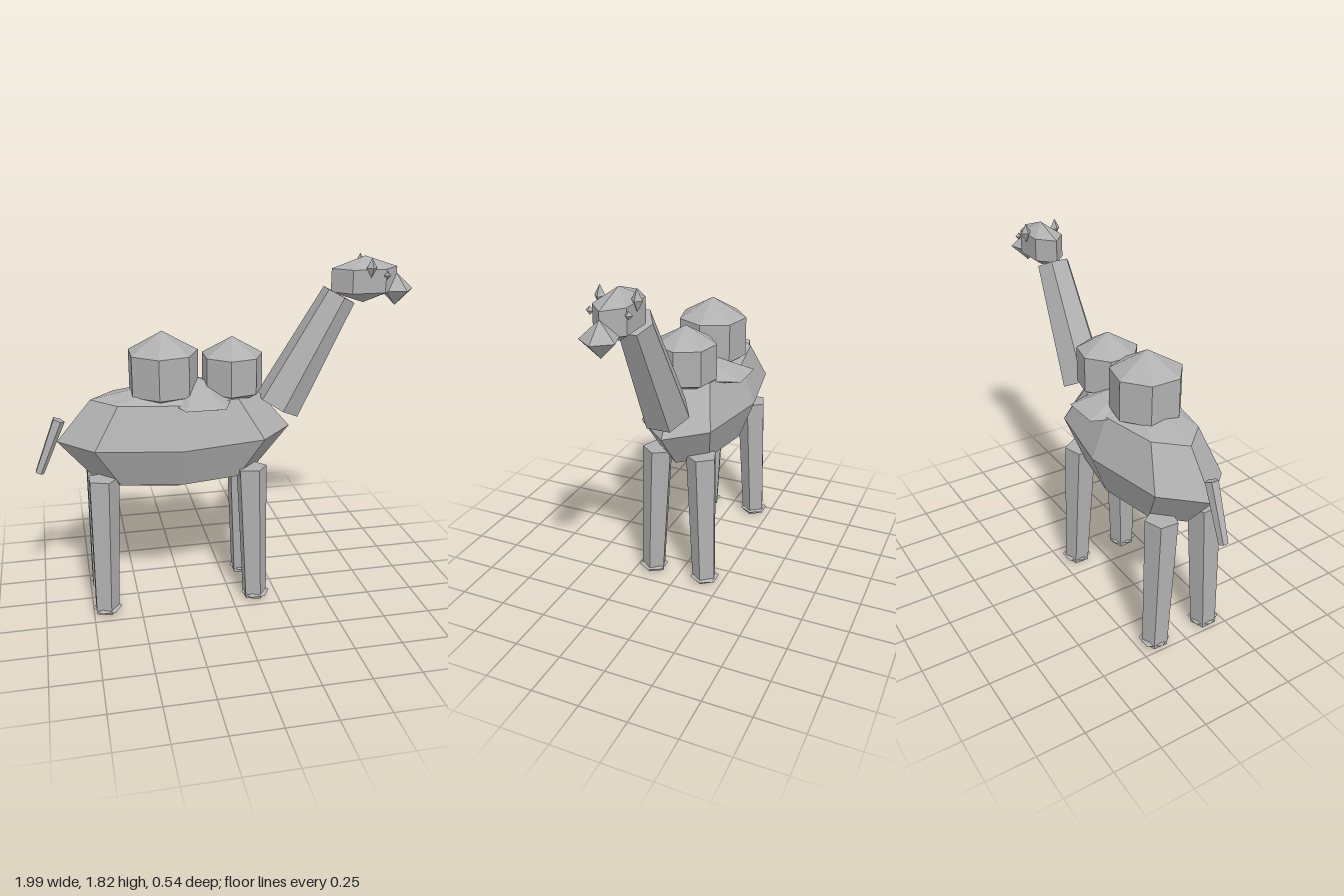
import * as THREE from 'three';

export function createModel() {
  const model = new THREE.Group();
  model.name = 'camel';
  const grey = new THREE.MeshStandardMaterial({ color: 0xb0b0b0, flatShading: true });
  grey.name = 'grey';

  function add(name, geometry, x = 0, y = 0, z = 0) {
    const mesh = new THREE.Mesh(geometry, grey);
    mesh.name = name;
    mesh.position.set(x, y, z);
    model.add(mesh);
    return mesh;
  }

  // Faceted ellipsoid whose first corner points to +x
  function blob(name, sides, rings, [rx, ry, rz], [x, y, z]) {
    const geometry = new THREE.SphereGeometry(1, sides, rings, Math.PI).scale(rx, ry, rz);
    return add(name, geometry, x, y, z);
  }

  // Tapered prism between two points
  function limb(name, sides, from, to, rFrom, rTo, thetaStart) {
    const a = new THREE.Vector3(...from), b = new THREE.Vector3(...to);
    const dir = b.clone().sub(a);
    const geometry = new THREE.CylinderGeometry(rTo, rFrom, dir.length(), sides, 1, false, thetaStart);
    const mesh = add(name, geometry);
    mesh.position.copy(a).add(b).multiplyScalar(0.5);
    mesh.quaternion.setFromUnitVectors(new THREE.Vector3(0, 1, 0), dir.normalize());
    return mesh;
  }

  // Body, humps and the saddle between them
  blob('body', 8, 4, [0.612, 0.3, 0.272], [-0.27, 0.93, 0]);
  blob('rearHump', 7, 3, [0.211, 0.21, 0.211], [-0.33, 1.27, 0]);
  blob('frontHump', 7, 3, [0.185, 0.187, 0.185], [0.03, 1.248, 0]);
  blob('saddle', 6, 2, [0.2, 0.095, 0.312], [-0.155, 1.135, 0]);

  // Neck and head
  limb('neck', 6, [0.275, 1.05, 0], [0.593, 1.625, 0], 0.126, 0.091, 0);
  blob('head', 6, 3, [0.204, 0.12, 0.107], [0.725, 1.7, 0]);
  blob('muzzle', 5, 2, [0.092, 0.084, 0.09], [0.901, 1.642, 0]);

  // Tail
  limb('tail', 5, [-0.98, 0.767, 0], [-0.866, 1.046, 0], 0.024, 0.033, Math.PI / 2);

  for (const side of [1, -1]) {
    const label = side > 0 ? 'front' : 'back';
    blob(label + 'Ear', 4, 2, [0.028, 0.05, 0.028], [0.73, 1.77, side * 0.087]);
    blob(label + 'Eye', 4, 2, [0.02, 0.02, 0.02], [0.816, 1.73, side * 0.09]);

    // Legs splay slightly outwards towards the hooves
    for (const [name, topX, footX] of [['rear', -0.667, -0.683], ['fore', 0.107, 0.125]]) {
      limb(name + 'Leg', 5, [footX, 0.01, side * 0.153], [topX, 0.76, side * 0.125],
        0.067, 0.084, Math.PI / 2);
      blob(name + 'Hoof', 6, 2, [0.077, 0.03, 0.08], [footX + 0.005, 0.03, side * 0.155]);
    }
  }
  return model;
}
